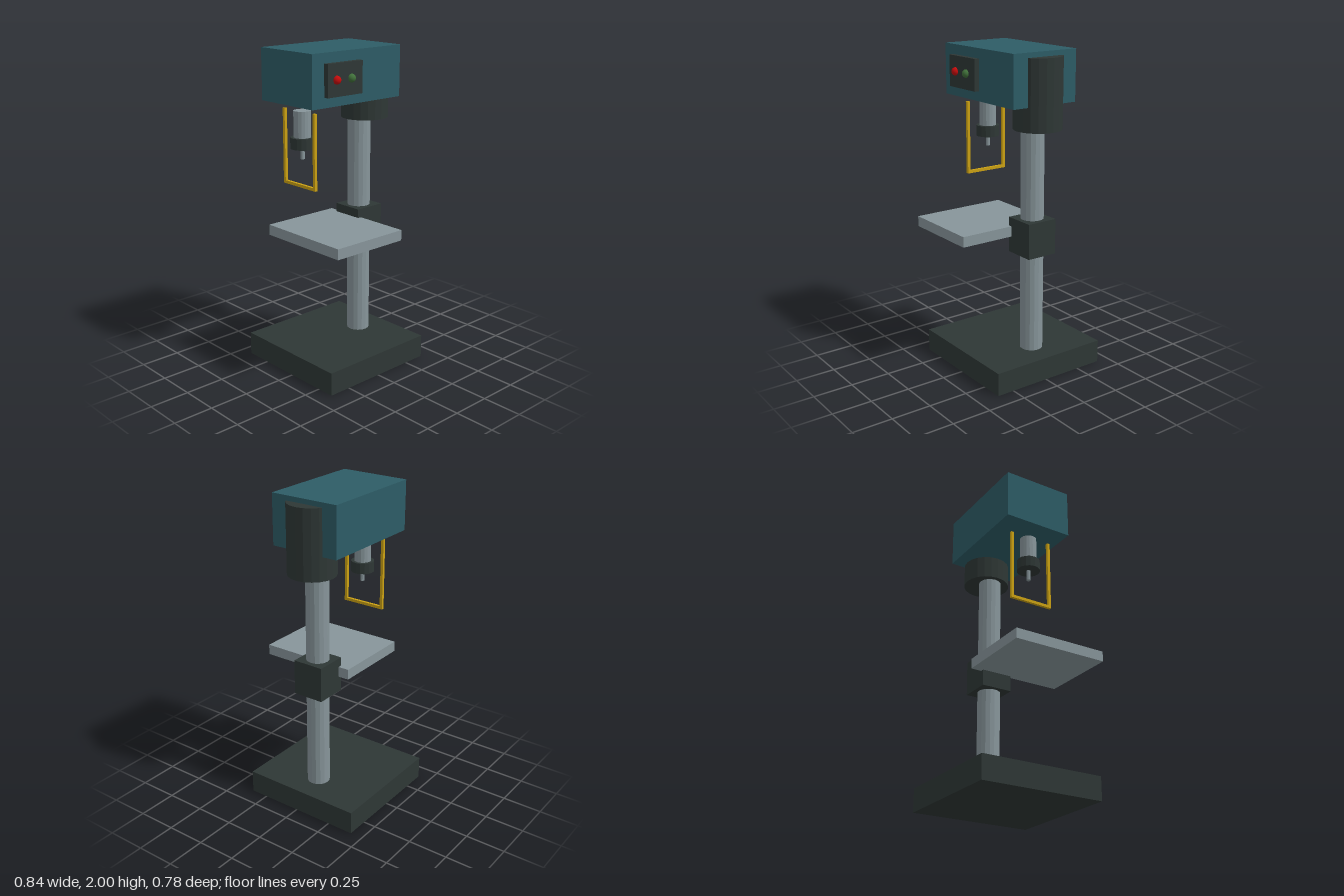
import * as THREE from 'three';

const paint = (name, color) => {
  const m = new THREE.MeshStandardMaterial({ color });
  m.name = name;
  return m;
};

export function createModel() {
  const group = new THREE.Group();
  const dark = paint('dark iron', 0x2e3735);
  const teal = paint('teal paint', 0x2d5c66);
  const steel = paint('grey steel', 0x87959a);
  const yellow = paint('yellow guard', 0xcca213);
  const red = paint('red button', 0xc40c0c);
  const green = paint('green button', 0x40703a);

  const add = (name, geometry, material, x, y, z) => {
    const mesh = new THREE.Mesh(geometry, material);
    mesh.name = name;
    mesh.position.set(x, y, z);
    group.add(mesh);
  };
  // Box given by its limits on each axis
  const box = (name, material, [x0, x1], [y0, y1], [z0, z1]) =>
    add(name, new THREE.BoxGeometry(x1 - x0, y1 - y0, z1 - z0), material,
      (x0 + x1) / 2, (y0 + y1) / 2, (z0 + z1) / 2);
  // Upright faceted cylinder on the machine's centre line
  const AXIS = -0.03;
  const rod = (name, material, r, y0, y1, z, sides = 16) => {
    const g = new THREE.CylinderGeometry(r, r, y1 - y0, sides).toNonIndexed();
    g.computeVertexNormals();
    add(name, g, material, AXIS, (y0 + y1) / 2, z);
  };

  // Stand
  box('base', dark, [-0.42, 0.362], [0, 0.145], [-0.392, 0.392]);
  rod('column', steel, 0.071, 0.14, 1.7, -0.199);
  rod('headCollar', dark, 0.146, 1.545, 1.97, -0.245, 20);

  // Work table and its clamp
  box('tableClamp', dark, [-0.13, 0.07], [0.77, 0.99], [-0.3, -0.1]);
  box('table', steel, [-0.2, 0.418], [0.87, 0.935], [-0.124, 0.39]);

  // Motor head with switch panel
  box('head', teal, [-0.252, 0.196], [1.69, 2], [-0.315, 0.38]);
  box('switchPanel', dark, [0.19, 0.227], [1.75, 1.94], [0.023, 0.29]);
  const button = new THREE.SphereGeometry(0.025, 20, 14);
  add('stopButton', button, red, 0.228, 1.846, 0.224);
  add('startButton', button, green, 0.228, 1.846, 0.111);

  // Spindle, chuck and bit
  rod('spindle', steel, 0.052, 1.45, 1.645, 0.262);
  rod('chuck', dark, 0.072, 1.42, 1.487, 0.262);
  rod('drillBit', steel, 0.013, 1.355, 1.44, 0.262, 12);

  // U-shaped guard
  const guardZ = [0.274, 0.292];
  for (const x of [-0.172, 0.095]) {
    box('guardSide', yellow, [x, x + 0.018], [1.188, 1.645], guardZ);
  }
  box('guardBottom', yellow, [-0.154, 0.095], [1.188, 1.206], guardZ);

  return group;
}
